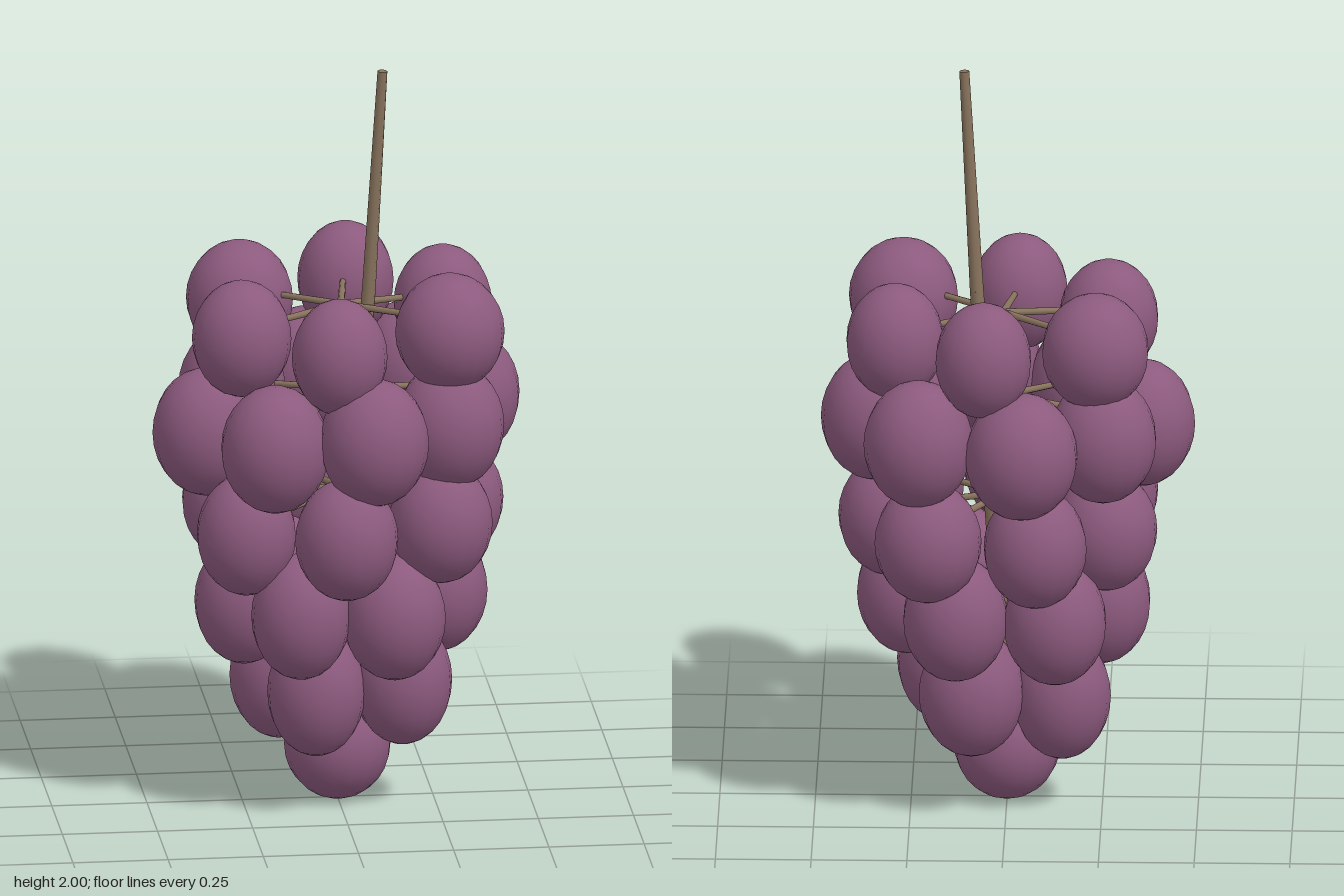
import * as THREE from 'three';

const skin = new THREE.MeshStandardMaterial({ color: 0x8c5a7e });
skin.name = 'grape purple';
const wood = new THREE.MeshStandardMaterial({ color: 0x88735d });
wood.name = 'stem brown';

// Each tier: grape half-height, twig height and [x, y, z, radius] per grape
const tiers = [
  { half: 0.155, twig: 1.35, grapes: [
    [-0.235, 1.315, -0.2, 0.14], [0.055, 1.325, -0.305, 0.126], [0.29, 1.31, -0.12, 0.128],
    [0.275, 1.325, 0.185, 0.143], [-0.027, 1.3, 0.297, 0.125], [-0.263, 1.3, 0.105, 0.13]] },
  { half: 0.17, twig: 1.12, grapes: [
    [-0.045, 1.07, -0.335, 0.147], [0.225, 1.09, -0.3, 0.143], [0.345, 1.08, -0.06, 0.14],
    [0.275, 1.07, 0.185, 0.142], [0.06, 1.075, 0.335, 0.143], [-0.195, 1.05, 0.285, 0.142],
    [-0.35, 1.03, 0.045, 0.14], [-0.255, 1.07, -0.2, 0.14]] },
  { half: 0.162, twig: 0.85, grapes: [
    [-0.012, 0.81, 0.33, 0.135], [0.25, 0.81, 0.2, 0.135], [0.305, 0.8, -0.04, 0.135],
    [0.2, 0.81, -0.28, 0.14], [-0.08, 0.8, -0.29, 0.135], [-0.26, 0.79, -0.12, 0.135],
    [-0.26, 0.79, 0.19, 0.13]] },
  { half: 0.168, twig: 0.6, grapes: [
    [0.26, 0.57, 0.01, 0.133], [0.125, 0.56, 0.22, 0.135], [-0.12, 0.57, 0.22, 0.13],
    [-0.245, 0.55, 0, 0.13], [-0.13, 0.57, -0.225, 0.135], [0.13, 0.58, -0.23, 0.137]] },
  { half: 0.172, twig: 0.38, grapes: [
    [-0.07, 0.335, 0.13, 0.128], [0.16, 0.35, 0.1, 0.13],
    [0.09, 0.34, -0.13, 0.138], [-0.145, 0.32, -0.09, 0.128]] },
  { half: 0.15, twig: 0.28, grapes: [[0, 0.155, 0, 0.14]] },
];

// Straight tapered rod between two points
function rod(a, b, rStart, rEnd, name) {
  const dir = b.clone().sub(a);
  const mesh = new THREE.Mesh(new THREE.CylinderGeometry(rEnd, rStart, dir.length(), 8), wood);
  mesh.position.copy(a).add(b).multiplyScalar(0.5);
  mesh.quaternion.setFromUnitVectors(new THREE.Vector3(0, 1, 0), dir.normalize());
  mesh.name = name;
  return mesh;
}

export function createModel() {
  const model = new THREE.Group();
  model.name = 'grapeBunch';
  const berry = new THREE.SphereGeometry(1, 18, 14);

  // Main stem, leaning and tapering towards its cut end
  const path = [[0, 0.25, 0], [0.045, 0.9, 0.012], [0.08, 1.4, 0.025], [0.113, 2, 0.048]]
    .map((p) => new THREE.Vector3(...p));
  const radii = [0.022, 0.021, 0.018, 0.013];
  const stem = new THREE.Group();
  stem.name = 'stem';
  for (let i = 0; i < 3; i++) {
    stem.add(rod(path[i], path[i + 1], radii[i], radii[i + 1], 'stemSection'));
  }
  model.add(stem);

  // Tiers of berries, each berry on its own twig
  tiers.forEach(({ half, twig, grapes }, t) => {
    const tier = new THREE.Group();
    tier.name = 'grapeTier' + (t + 1);
    for (const [x, y, z, r] of grapes) {
      const grape = new THREE.Mesh(berry, skin);
      grape.name = 'grape';
      grape.position.set(x, y, z);
      grape.scale.set(r, half, r);
      grape.rotation.y = Math.atan2(x, z);
      tier.add(grape);
      tier.add(rod(new THREE.Vector3(0.01, twig, -0.005),
        new THREE.Vector3(x * 0.7, y + 0.03, z * 0.7), 0.01, 0.008, 'twig'));
    }
    model.add(tier);
  });
  return model;
}
